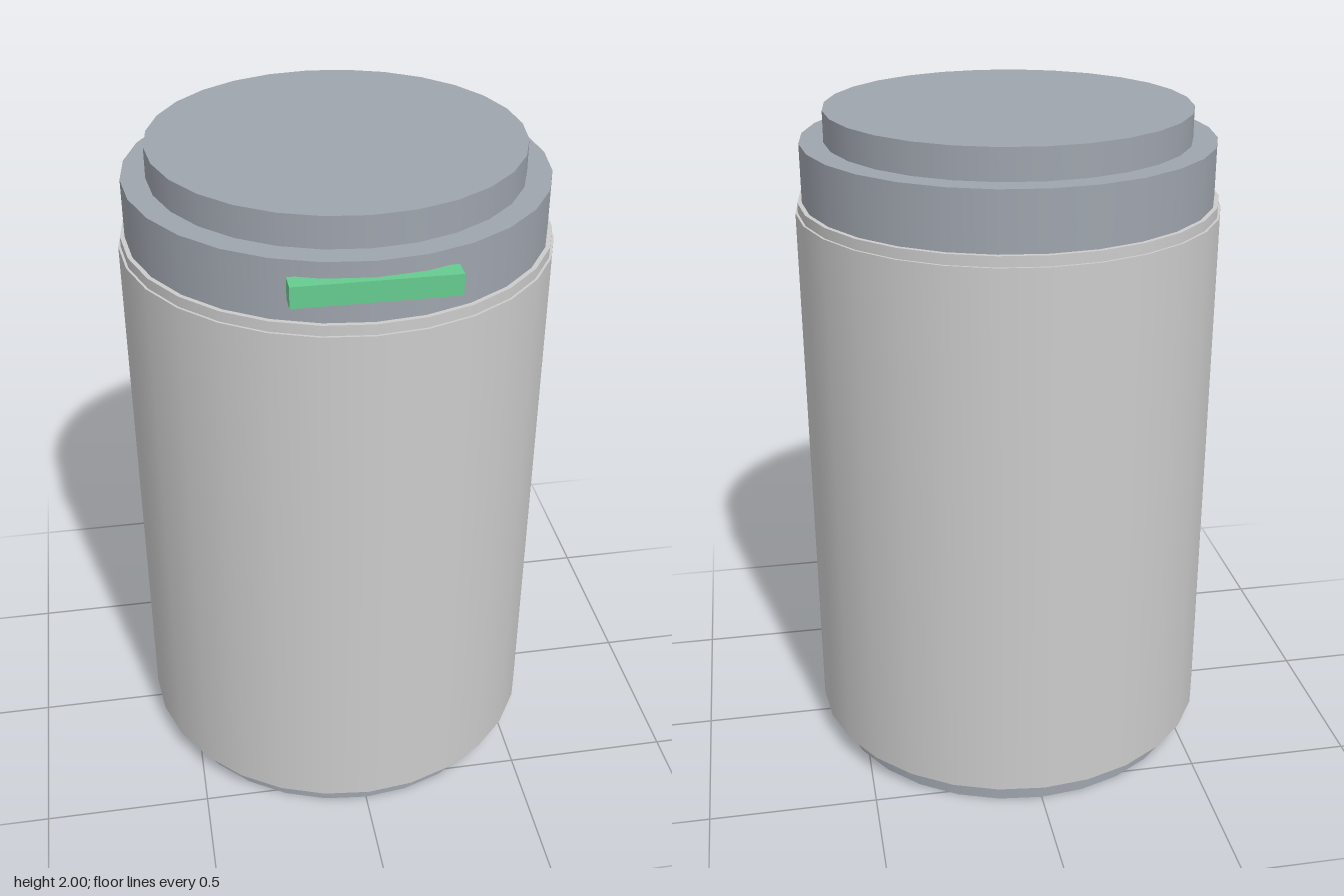
import * as THREE from 'three';

const SIDES = 28;

export function createModel() {
  const group = new THREE.Group();
  const grey = new THREE.MeshStandardMaterial({ color: 0xcccccc });
  const slate = new THREE.MeshStandardMaterial({ color: 0x9fa5ae });
  const green = new THREE.MeshStandardMaterial({ color: 0x66cc90 });

  // Upright disc or drum between two heights
  function drum(name, radius, bottom, top, material) {
    const geometry = new THREE.CylinderGeometry(radius, radius, top - bottom, SIDES);
    const mesh = new THREE.Mesh(geometry, material);
    mesh.name = name;
    mesh.position.y = (bottom + top) / 2;
    group.add(mesh);
  }

  // Canister, stacked from the foot up
  drum('foot', 0.575, 0, 0.07, slate);
  drum('body', 0.62, 0.07, 1.71, grey);
  drum('neckRing', 0.613, 1.71, 1.74, grey);
  drum('lidCollar', 0.6, 1.74, 1.91, slate);
  drum('lidCap', 0.53, 1.91, 2, slate);

  // Indicator bar set into the front of the lid collar
  const bar = new THREE.Mesh(new THREE.BoxGeometry(0.44, 0.06, 0.055), green);
  bar.name = 'indicatorBar';
  bar.position.set(0, 1.835, 0.59);
  group.add(bar);

  return group;
}
